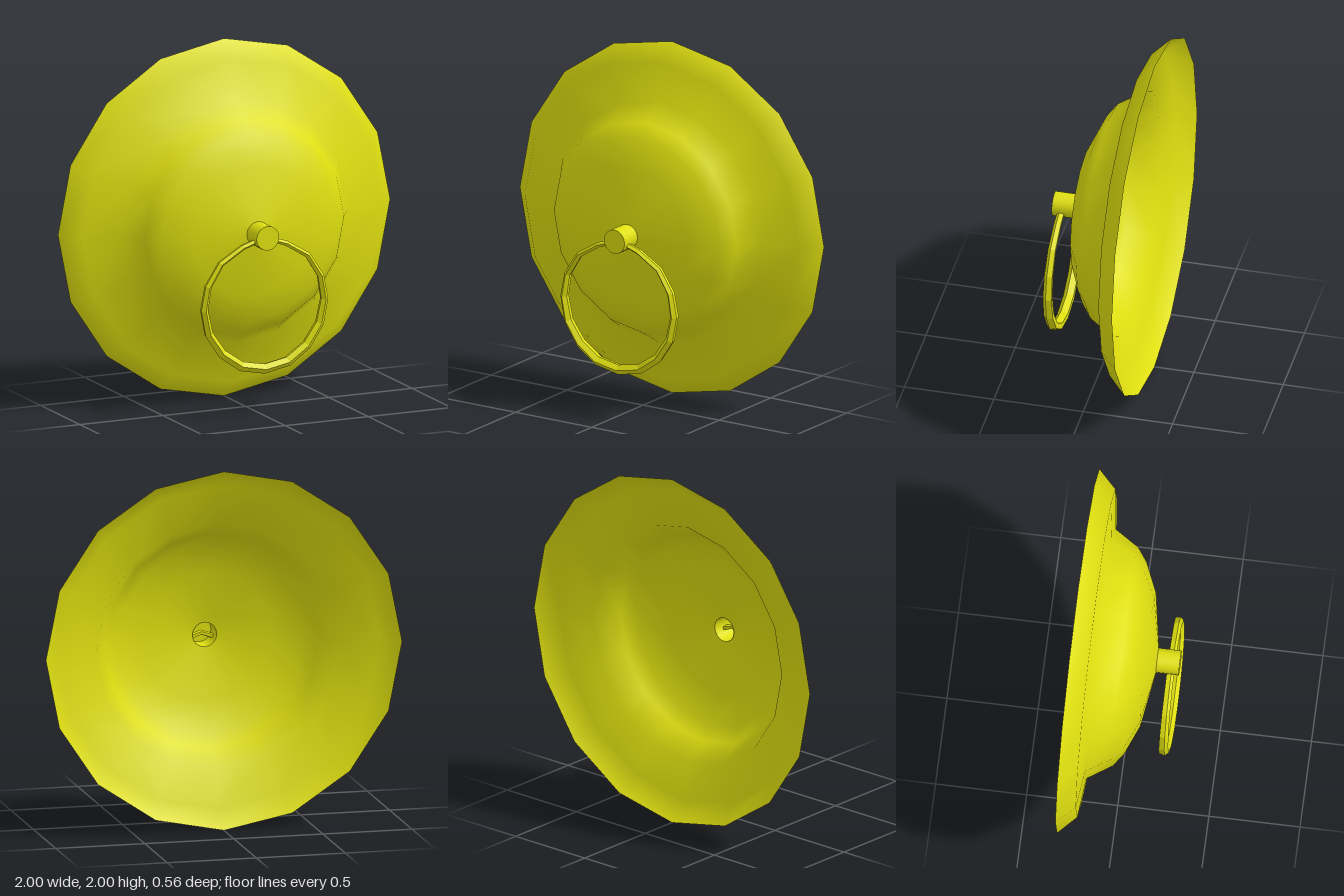
import * as THREE from 'three';

const yellow = (flatShading = false) => new THREE.MeshStandardMaterial({
  color: 0xe0e010, side: THREE.DoubleSide, flatShading,
});

function addMesh(parent, name, geometry, flat = false) {
  const mesh = new THREE.Mesh(geometry, yellow(flat));
  mesh.name = name;
  parent.add(mesh);
  return mesh;
}

// Closed loop of five-sided sections, thinner towards the top
function ringGeometry() {
  const half = [[0, 0.263], [0.14, 0.29], [0.255, 0.37], [0.333, 0.485], [0.361, 0.62],
    [0.338, 0.75], [0.26, 0.873], [0.13, 0.952], [0, 0.995]];
  const path = [...half, ...half.slice(1, -1).reverse().map(([x, y]) => [-x, y])];
  const sides = 5, n = path.length, centreY = 0.62;
  const positions = [], index = [];
  path.forEach(([x, y], i) => {
    const out = new THREE.Vector2(x, y - centreY).normalize();
    const t = (y - 0.263) / 0.732;
    const wide = THREE.MathUtils.lerp(0.029, 0.014, t);
    const deep = THREE.MathUtils.lerp(0.034, 0.022, t);
    for (let j = 0; j < sides; j++) {
      const a = (j / sides) * Math.PI * 2 + Math.PI / 2;
      const r = Math.cos(a) * wide;
      positions.push(x + out.x * r, y + out.y * r, 0.231 + Math.sin(a) * deep);
      const k = (j + 1) % sides, next = ((i + 1) % n) * sides;
      const p = i * sides + j, q = i * sides + k;
      index.push(p, next + j, next + k, p, next + k, q);
    }
  });
  const geometry = new THREE.BufferGeometry();
  geometry.setAttribute('position', new THREE.Float32BufferAttribute(positions, 3));
  geometry.setIndex(index);
  geometry.computeVertexNormals();
  return geometry;
}

export function createModel() {
  const model = new THREE.Group();
  model.name = 'ringPull';

  // Thin domed plate with a centre hole, profile given as radius and depth
  const profile = [[1, -0.28], [0.9, -0.18], [0.685, -0.155], [0.6, -0.02],
    [0.525, 0.035], [0.365, 0.105], [0.068, 0.155]].map(([r, z]) => new THREE.Vector2(r, z));
  const plate = new THREE.LatheGeometry(profile, 16);
  plate.rotateX(Math.PI / 2);
  addMesh(model, 'backPlate', plate).position.y = 1;

  // Hollow knob, open to the back and capped at the front
  const knob = new THREE.Group();
  knob.name = 'knob';
  knob.position.y = 1;
  model.add(knob);
  const wall = new THREE.CylinderGeometry(0.068, 0.068, 0.13, 16, 1, true);
  wall.rotateX(Math.PI / 2);
  addMesh(knob, 'knobWall', wall).position.z = 0.215;
  addMesh(knob, 'knobCap', new THREE.CircleGeometry(0.068, 16)).position.z = 0.28;

  // Hanging ring that passes through the knob
  addMesh(model, 'pullRing', ringGeometry(), true);

  return model;
}
